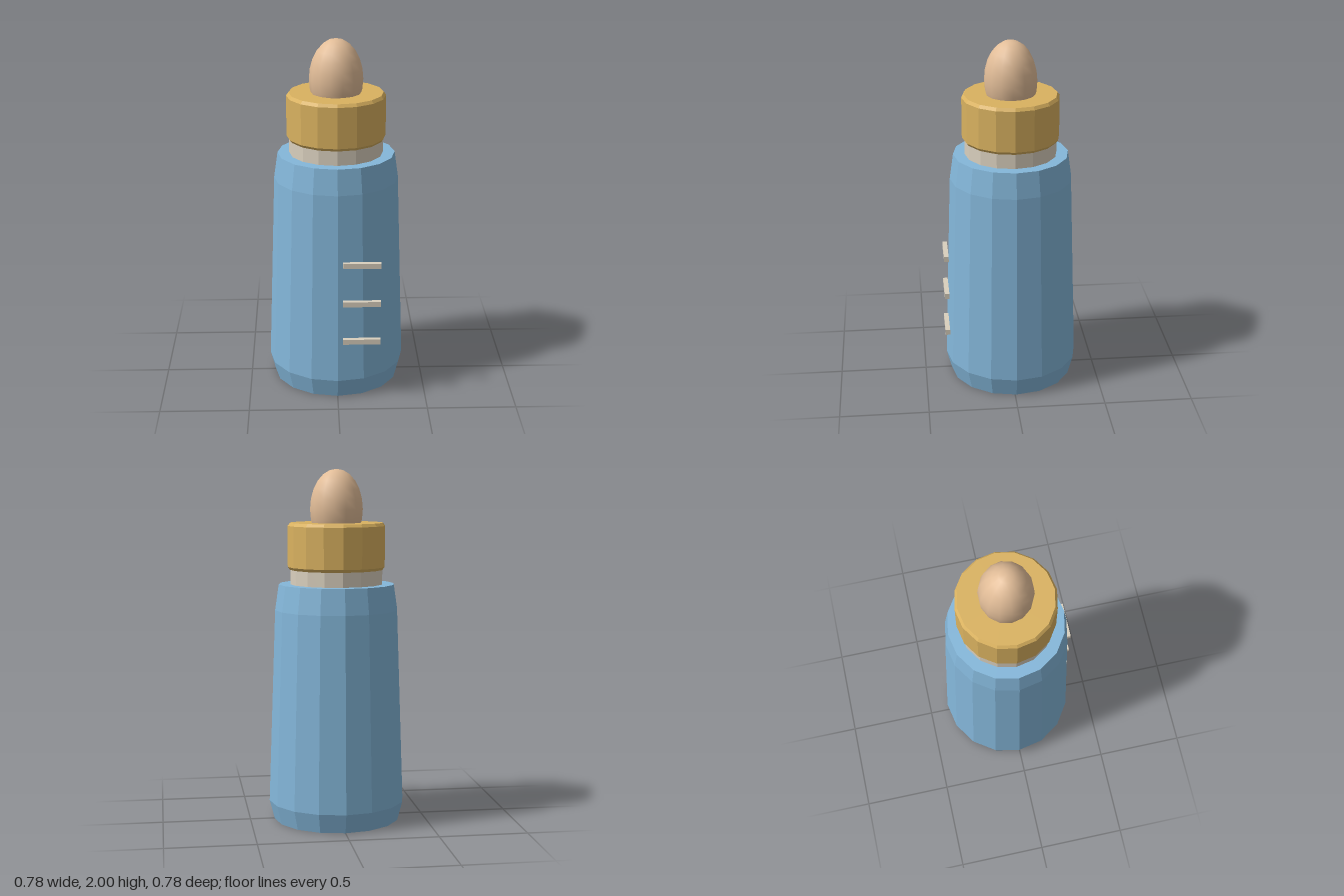
import * as THREE from 'three';

const mat = (name, color) => Object.assign(new THREE.MeshStandardMaterial({ color }), { name });

// Faceted 16-sided turned part from a closed [radius, height] profile, bottom to top
function turned(name, profile, material) {
  const lathe = new THREE.LatheGeometry(profile.map(([r, y]) => new THREE.Vector2(r, y)), 16);
  const geometry = lathe.toNonIndexed();
  geometry.computeVertexNormals();
  const mesh = new THREE.Mesh(geometry, material);
  mesh.name = name;
  return mesh;
}

export function createModel() {
  const blue = mat('bottle blue', 0x84b7da);
  const gold = mat('collar gold', 0xdab260);
  const cream = mat('neck cream', 0xdad0be);
  const tan = mat('teat tan', 0xe2bd98);

  const model = new THREE.Group();
  model.name = 'babyBottle';

  // Round parts, slightly narrower in depth and set just behind the centre
  const round = new THREE.Group();
  round.name = 'bottle';
  round.scale.z = 0.983;
  round.position.z = -0.008;
  model.add(round);

  round.add(
    turned('body', [[0, 0], [0.36, 0], [0.389, 0.11], [0.35, 1.21], [0.329, 1.355], [0, 1.355]], blue),
    turned('neck', [[0, 1.3], [0.263, 1.3], [0.263, 1.47], [0, 1.47]], cream),
    turned('collar', [[0, 1.437], [0.264, 1.437], [0.277, 1.453], [0.277, 1.683], [0.264, 1.7], [0, 1.7]], gold)
  );

  // Smooth egg-shaped teat rising out of the collar
  const teat = new THREE.Mesh(new THREE.SphereGeometry(1, 14, 12), tan);
  teat.name = 'teat';
  teat.scale.set(0.15, 0.225, 0.15);
  teat.position.y = 1.775;
  round.add(teat);

  // Measuring marks on the front
  [0.36, 0.59, 0.82].forEach((y, i) => {
    const mark = new THREE.Mesh(new THREE.BoxGeometry(0.21, 0.03, 0.026), cream);
    mark.name = `measuringMark${i + 1}`;
    mark.position.set(0.134, y, 0.374);
    model.add(mark);
  });

  return model;
}
